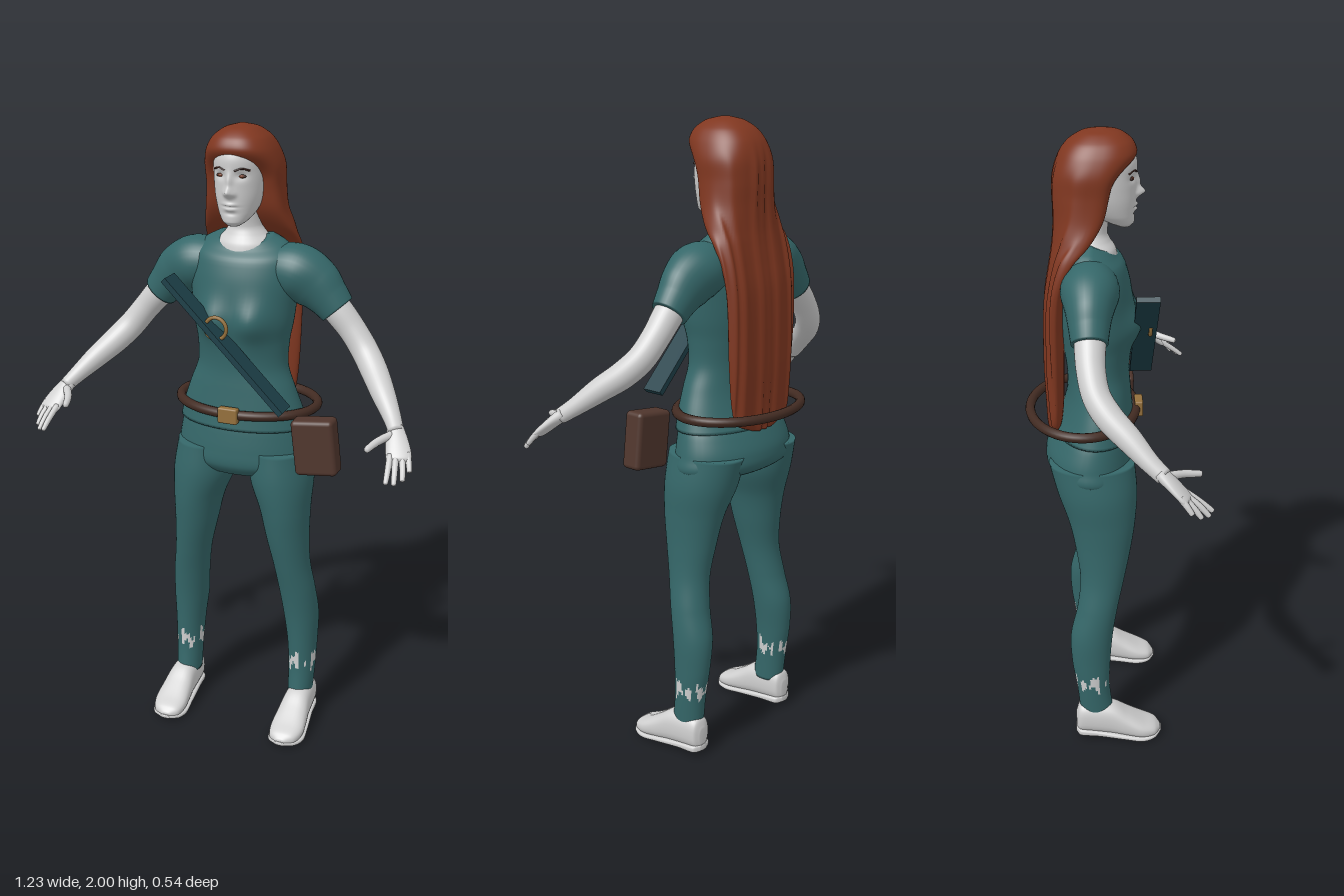
import * as THREE from 'three';
import { RoundedBoxGeometry } from 'three/addons/geometries/RoundedBoxGeometry.js';

const V = (x, y, z) => new THREE.Vector3(x, y, z);
const material = (name, color) => new THREE.MeshStandardMaterial({ name, color });

// Smooth loft through sections [x, y, z, radiusU, radiusV].
// axes: fixed [u, v] directions, or ref: direction that u leans to, across the path.
// power < 1 squares the section; bend(p, angle) moves points; paint(p, angle) picks a material.
function loft(sections, { axes, ref, rows = 40, segs = 32, power = 1, bend, paint }) {
  const path = new THREE.CatmullRomCurve3(sections.map((s) => V(s[0], s[1], s[2])));
  const size = new THREE.CatmullRomCurve3(sections.map((s) => V(s[3], s[4], 0)), false, 'catmullrom', 0.5);
  const round = (c) => Math.sign(c) * Math.abs(c) ** power;
  const pts = [];
  let flip = false;
  for (let i = 0; i <= rows; i++) {
    const t = i / rows, c = path.getPoint(t), r = size.getPoint(t), dir = path.getTangent(t);
    let u, v;
    if (axes) [u, v] = axes;
    else {
      u = ref.clone().addScaledVector(dir, -ref.dot(dir)).normalize();
      v = dir.clone().cross(u);
    }
    if (i === rows >> 1) flip = u.clone().cross(v).dot(dir) < 0;
    for (let j = 0; j < segs; j++) {
      const a = (j / segs) * Math.PI * 2;
      const p = c.clone().addScaledVector(u, r.x * round(Math.cos(a))).addScaledVector(v, r.y * round(Math.sin(a)));
      if (bend) bend(p, a);
      pts.push(p);
    }
  }
  const lists = [[], []];
  const tri = (a, b, c, angle = 0) => {
    const mid = pts[a].clone().add(pts[b]).add(pts[c]).divideScalar(3);
    lists[paint ? paint(mid, angle) : 0].push(...(flip ? [a, c, b] : [a, b, c]));
  };
  for (let i = 0; i < rows; i++) for (let j = 0; j < segs; j++) {
    const k = (j + 1) % segs, a = i * segs + j, b = i * segs + k, angle = (j / segs) * Math.PI * 2;
    tri(a, b, b + segs, angle);
    tri(a, b + segs, a + segs, angle);
  }
  // end caps
  for (const row of [0, rows]) {
    const mid = V(0, 0, 0);
    for (let j = 0; j < segs; j++) mid.addScaledVector(pts[row * segs + j], 1 / segs);
    const m = pts.push(mid) - 1;
    for (let j = 0; j < segs; j++) {
      const a = row * segs + j, b = row * segs + ((j + 1) % segs);
      if (row) tri(a, b, m); else tri(b, a, m);
    }
  }
  const g = new THREE.BufferGeometry().setFromPoints(pts);
  g.setIndex([...lists[0], ...lists[1]]);
  if (paint) {
    g.addGroup(0, lists[0].length, 0);
    g.addGroup(lists[0].length, lists[1].length, 1);
  }
  g.computeVertexNormals();
  return g;
}

const FLAT = [V(1, 0, 0), V(0, 0, 1)];
const UPRIGHT = [V(1, 0, 0), V(0, 1, 0)];
// level section from height, centre x, half width, front z and back z
const level = ([y, x, rx, front, back]) => [x, y, (front + back) / 2, rx, (front - back) / 2];
const bump = (x, y, cx, cy, sx, sy) => Math.exp(-(((x - cx) / sx) ** 2) - ((y - cy) / sy) ** 2);

export function createModel() {
  const skin = material('paleSkin', 0xd0d0d0), teal = material('tealCloth', 0x356769);
  const hairRed = material('auburnHair', 0x803720), leather = material('beltLeather', 0x422b22);
  const pouchBrown = material('pouchLeather', 0x50362d), gold = material('brass', 0x94703c);
  const sheath = material('darkSheath', 0x1d3f48), iris = material('brownIris', 0x70361f);
  const dark = material('darkBrow', 0x38211b);
  const model = new THREE.Group();
  const add = (name, geometry, mat, x = 0, y = 0, z = 0) => {
    const m = new THREE.Mesh(geometry, mat);
    m.name = name;
    m.position.set(x, y, z);
    model.add(m);
    return m;
  };

  // head with modelled nose, sockets, lips
  add('head', loft([
    [1.713, 0, 0.018, 0.055, 0.02], [1.725, 0, 0.036, 0.066, -0.01], [1.75, 0, 0.055, 0.068, -0.06],
    [1.79, 0, 0.07, 0.071, -0.1], [1.83, 0, 0.077, 0.072, -0.12], [1.87, 0, 0.08, 0.073, -0.13],
    [1.91, 0, 0.08, 0.073, -0.13], [1.95, 0, 0.068, 0.055, -0.11], [1.97, 0, 0.04, 0.03, -0.08],
  ].map(level), {
    axes: FLAT, rows: 90, segs: 112, bend: (p) => {
      if (p.z < 0.01) return;
      const x = Math.abs(p.x), y = p.y;
      p.z += 0.024 * bump(x, y, 0, 1.815, 0.012, 0.014) + 0.011 * bump(x, y, 0, 1.845, 0.009, 0.024)
        + 0.006 * bump(x, y, 0.014, 1.81, 0.007, 0.008) - 0.008 * bump(x, y, 0.032, 1.862, 0.017, 0.012)
        + 0.007 * bump(x, y, 0, 1.779, 0.018, 0.005) + 0.007 * bump(x, y, 0, 1.765, 0.015, 0.005)
        - 0.005 * bump(x, y, 0, 1.772, 0.022, 0.002) - 0.004 * bump(x, y, 0, 1.752, 0.02, 0.006);
    },
  }), skin);
  add('neck', loft([
    [1.77, 0, 0.05, 0.0, -0.11], [1.7, 0, 0.052, -0.012, -0.11], [1.675, 0, 0.066, -0.004, -0.12],
    [1.65, 0, 0.09, 0.012, -0.13], [1.62, 0, 0.09, 0.02, -0.13],
  ].map(level), { axes: FLAT }), skin);

  // long hair: full around the head, a thin sheet down the back
  add('hair', loft([
    [2.0, 0, 0.008, -0.02, -0.04], [1.99, 0, 0.047, 0.025, -0.085], [1.965, 0, 0.082, 0.06, -0.125],
    [1.93, 0, 0.104, 0.074, -0.152], [1.88, 0, 0.119, 0.06, -0.168], [1.82, 0, 0.12, 0.045, -0.172],
    [1.75, 0, 0.128, 0.025, -0.17], [1.69, 0, 0.144, -0.02, -0.172], [1.64, 0, 0.155, -0.08, -0.178],
    [1.58, 0, 0.155, -0.125, -0.188], [1.5, 0, 0.15, -0.142, -0.2], [1.3, 0, 0.143, -0.145, -0.205],
    [1.16, 0, 0.13, -0.148, -0.2], [1.1, 0, 0.11, -0.155, -0.197], [1.07, 0, 0.04, -0.17, -0.19],
  ].map(level), {
    axes: FLAT, rows: 90, segs: 96, power: 0.85, bend: (p, a) => {
      const front = Math.max(0, Math.sin(a)), low = THREE.MathUtils.smoothstep(1.94 - p.y, 0, 0.1);
      if (p.y > 1.6) p.z -= 0.055 * front * front * low;
      if (front === 0) p.z += 0.004 * low * Math.sin(p.x * 130 + 2 * Math.sin(p.x * 47));
    },
  }), hairRed);

  // shirt body, its neckline dipping at the front
  add('shirt', loft([
    [1.675, 0, 0.086, 0.008, -0.128], [1.655, 0, 0.125, 0.015, -0.142], [1.62, 0, 0.165, 0.035, -0.155],
    [1.55, 0, 0.175, 0.056, -0.165], [1.47, 0, 0.167, 0.066, -0.165], [1.41, 0, 0.16, 0.07, -0.16],
    [1.35, 0, 0.149, 0.062, -0.15], [1.27, 0, 0.147, 0.055, -0.138], [1.2, 0, 0.172, 0.06, -0.138],
    [1.13, 0, 0.197, 0.067, -0.155], [1.075, 0, 0.212, 0.074, -0.178],
  ].map(level), {
    axes: FLAT, rows: 60, segs: 64, bend: (p, a) => {
      const front = Math.max(0, Math.sin(a));
      p.z += 0.03 * front * bump(Math.abs(p.x), p.y, 0.075, 1.425, 0.055, 0.06);
      if (p.y > 1.6) p.y -= 0.4 * front * (p.y - 1.6);
    },
  }), teal);
  add('trouserHips', loft([
    [1.11, 0, 0.19, 0.06, -0.155], [1.06, 0, 0.209, 0.068, -0.185], [1.0, 0, 0.223, 0.074, -0.207],
    [0.95, 0, 0.225, 0.073, -0.198], [0.915, 0, 0.15, 0.045, -0.13], [0.9, 0, 0.03, 0.0, -0.06],
  ].map(level), { axes: FLAT, segs: 48 }), teal);

  for (const s of [1, -1]) {
    const side = s > 0 ? 'left' : 'right';
    const flipX = (list) => list.map(([x, ...rest]) => [s * x, ...rest]);

    // trouser leg with torn patches showing the shin
    add(side + 'TrouserLeg', loft(flipX([
      [1.0, 0.125, 0.096, 0.068, -0.198], [0.9, 0.133, 0.101, 0.076, -0.172], [0.8, 0.15, 0.081, 0.07, -0.138],
      [0.7, 0.161, 0.069, 0.055, -0.117], [0.6, 0.175, 0.06, 0.035, -0.105], [0.5, 0.19, 0.06, 0.014, -0.116],
      [0.4, 0.2, 0.058, -0.002, -0.138], [0.3, 0.206, 0.05, -0.01, -0.135], [0.2, 0.208, 0.045, -0.012, -0.12],
      [0.1, 0.207, 0.041, 0.0, -0.11],
    ].map(level)), {
      axes: FLAT, rows: 110, segs: 48, paint: (p, a) => {
        const b = s > 0 ? a : Math.PI - a;
        const top = 0.248 + 0.016 * Math.sin(5 * b) + 0.01 * Math.sin(13 * b + 1);
        const low = 0.212 + 0.012 * Math.sin(7 * b + 2) + 0.01 * Math.sin(11 * b);
        return p.y > low && p.y < top && Math.sin(4 * b + 1) + Math.sin(9 * b) > -0.7 ? 1 : 0;
      },
    }), [teal, skin]);

    // shoe and sole, heel to toe
    add(side + 'Shoe', loft(flipX([
      [0.212, 0.065, -0.124, 0.015, 0.03], [0.212, 0.075, -0.112, 0.036, 0.052], [0.212, 0.077, -0.06, 0.043, 0.058],
      [0.213, 0.07, 0, 0.047, 0.058], [0.214, 0.052, 0.05, 0.053, 0.044], [0.214, 0.036, 0.1, 0.056, 0.03],
      [0.211, 0.027, 0.14, 0.043, 0.02], [0.209, 0.022, 0.158, 0.014, 0.008],
    ]), { axes: UPRIGHT, power: 0.8 }), skin);
    add(side + 'ShoeSole', loft(flipX([
      [0.212, 0.03, -0.126, 0.015, 0.01], [0.212, 0.028, -0.112, 0.038, 0.014], [0.212, 0.024, -0.05, 0.044, 0.012],
      [0.214, 0.016, 0.04, 0.055, 0.01], [0.214, 0.011, 0.1, 0.06, 0.01], [0.211, 0.014, 0.14, 0.047, 0.009],
      [0.209, 0.018, 0.162, 0.014, 0.006],
    ]), { axes: UPRIGHT, power: 0.6 }), skin);

    // sleeve and arm
    const ref = V(0, 0, 1);
    add(side + 'Sleeve', loft(flipX([
      [0.08, 1.57, -0.065, 0.075, 0.07], [0.165, 1.565, -0.067, 0.086, 0.085], [0.225, 1.53, -0.07, 0.07, 0.081],
      [0.262, 1.495, -0.071, 0.06, 0.066], [0.294, 1.459, -0.071, 0.053, 0.056],
    ]), { ref }), teal);
    add(side + 'Arm', loft(flipX([
      [0.25, 1.505, -0.07, 0.046, 0.046], [0.3, 1.452, -0.07, 0.045, 0.045], [0.345, 1.4, -0.068, 0.042, 0.042],
      [0.39, 1.343, -0.054, 0.041, 0.042], [0.43, 1.297, -0.02, 0.041, 0.041], [0.475, 1.25, 0.035, 0.037, 0.036],
      [0.52, 1.2, 0.09, 0.028, 0.027], [0.545, 1.17, 0.128, 0.025, 0.022],
    ]), { ref }), skin);

    // hand: palm, four fingers, thumb
    const across = V(0.85 * s, 0.25, -0.45);
    add(side + 'Palm', loft(flipX([
      [0.538, 1.18, 0.115, 0.024, 0.021], [0.55, 1.157, 0.143, 0.032, 0.018], [0.564, 1.13, 0.172, 0.037, 0.015],
      [0.572, 1.113, 0.19, 0.036, 0.012], [0.575, 1.107, 0.197, 0.024, 0.005],
    ]), { ref: across, rows: 20, segs: 24 }), skin);
    const digits = {
      IndexFinger: [[0.545, 1.122, 0.188], [0.551, 1.093, 0.23], [0.555, 1.066, 0.264]],
      MiddleFinger: [[0.561, 1.12, 0.187], [0.57, 1.09, 0.226], [0.576, 1.061, 0.253]],
      RingFinger: [[0.578, 1.121, 0.18], [0.589, 1.092, 0.21], [0.595, 1.066, 0.23]],
      LittleFinger: [[0.59, 1.128, 0.17], [0.601, 1.106, 0.188], [0.608, 1.085, 0.203]],
      Thumb: [[0.536, 1.167, 0.138], [0.505, 1.157, 0.185], [0.487, 1.147, 0.235]],
    };
    for (const [name, [a, b, c]] of Object.entries(digits)) {
      const r = name === 'Thumb' ? 0.013 : 0.01;
      const end = c.map((n, i) => n + (c[i] - b[i]) * 0.08);
      add(side + name, loft(flipX([[...a, r, r], [...b, r * 0.9, r * 0.9], [...c, r * 0.7, r * 0.7], [...end, 0.002, 0.002]]),
        { ref: across, rows: 16, segs: 12 }), skin);
    }

    // eye and brow
    add(side + 'Eye', new THREE.SphereGeometry(1, 20, 12), dark, s * 0.033, 1.861, 0.055).scale.set(0.014, 0.0055, 0.006);
    add(side + 'Iris', new THREE.SphereGeometry(1, 16, 10), iris, s * 0.033, 1.861, 0.058).scale.set(0.008, 0.005, 0.005);
    const brow = new THREE.CatmullRomCurve3([V(s * 0.014, 1.877, 0.071), V(s * 0.034, 1.884, 0.063), V(s * 0.055, 1.877, 0.046)]);
    add(side + 'Brow', new THREE.TubeGeometry(brow, 12, 0.003, 6), dark);
  }

  // belt hoop and buckle
  const hoop = [];
  for (let i = 0; i < 32; i++) {
    const a = (i / 32) * Math.PI * 2;
    hoop.push(V(0.226 * Math.cos(a), 1.13, -0.09 + 0.165 * Math.sin(a)));
  }
  add('belt', new THREE.TubeGeometry(new THREE.CatmullRomCurve3(hoop, true), 80, 0.015, 12, true), leather);
  add('beltBuckle', new RoundedBoxGeometry(0.064, 0.05, 0.026, 2, 0.005), gold, 0, 1.13, 0.085);

  // pouch on the left hip
  add('pouch', new RoundedBoxGeometry(0.135, 0.178, 0.068, 3, 0.014), pouchBrown, 0.275, 1.055, 0.046).rotation.z = 0.12;

  // sheath across the chest with its ring
  add('sheath', new THREE.BoxGeometry(0.535, 0.018, 0.07), sheath, 0, 1.363, 0.1).rotation.z = -Math.PI / 4;
  add('sheathRing', new THREE.TorusGeometry(0.034, 0.006, 10, 32), gold, -0.027, 1.415, 0.116);

  return model;
}
